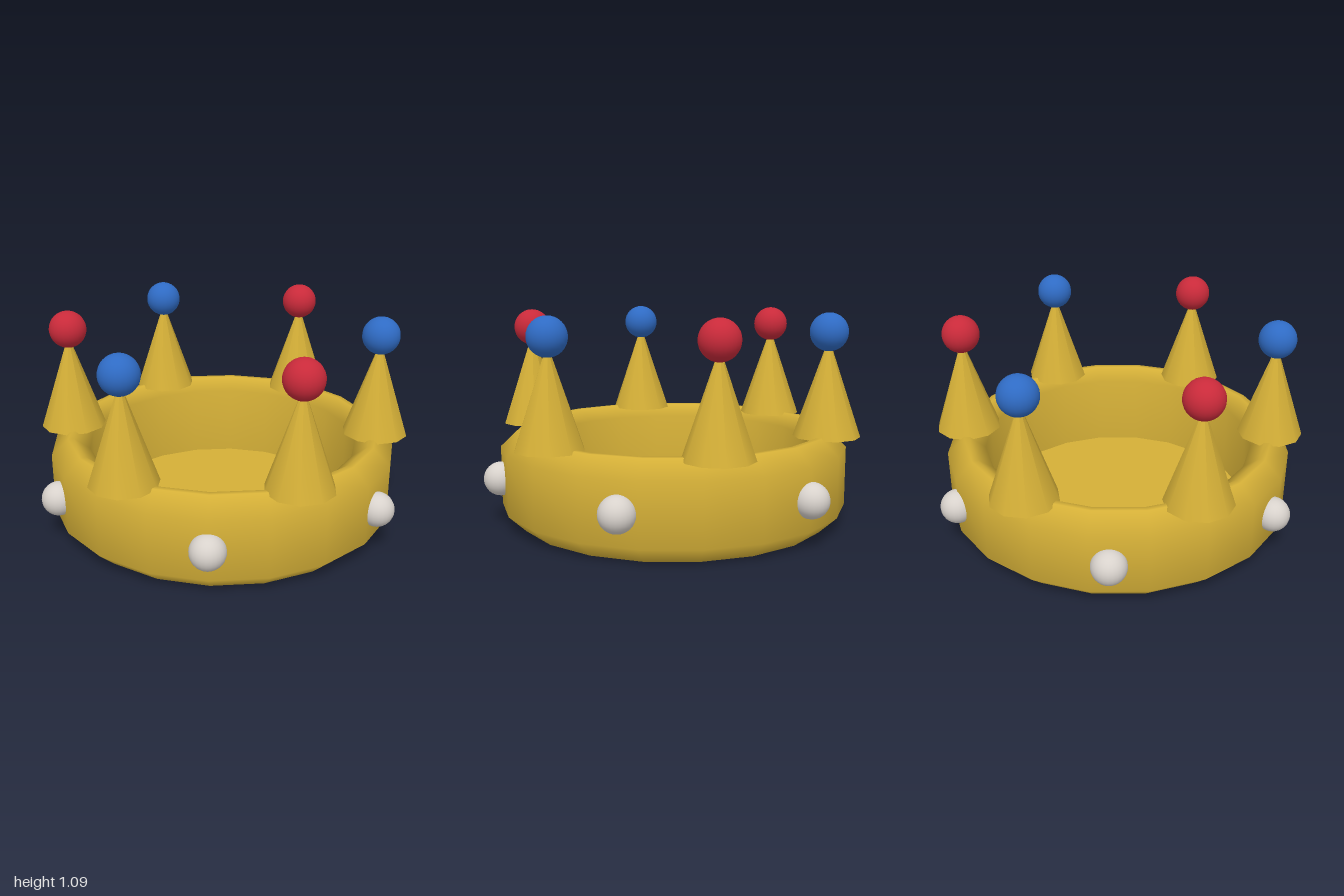
import * as THREE from 'three';

const mat = (name, color) => {
  const m = new THREE.MeshStandardMaterial({ color });
  m.name = name;
  return m;
};

export function createModel() {
  const crown = new THREE.Group();
  crown.name = 'crown';

  const gold = mat('gold', 0xd4af37);
  const red = mat('red gem', 0xc92a3a);
  const blue = mat('blue gem', 0x2f6bc4);
  const pearl = mat('pearl', 0xd8d2cc);

  const add = (name, geometry, material, x, y, z) => {
    const mesh = new THREE.Mesh(geometry, material);
    mesh.name = name;
    mesh.position.set(x, y, z);
    crown.add(mesh);
  };

  // Bevelled band: outer wall up, over the rim, down the inner wall
  const profile = [
    [0.82, 0], [0.91, 0.085], [0.91, 0.39], [0.82, 0.475],
    [0.79, 0.475], [0.71, 0.41], [0.71, 0.01],
  ].map(([r, y]) => new THREE.Vector2(r, y));
  add('band', new THREE.LatheGeometry(profile, 20), gold, 0, 0, 0);

  // Thin floor closing the bottom
  add('floor', new THREE.CylinderGeometry(0.82, 0.82, 0.015, 20), gold, 0, 0.0075, 0);

  // Six spikes with alternating gems, and pearls midway between them
  const spikeGeo = new THREE.ConeGeometry(0.17, 0.5, 10);
  const gemGeo = new THREE.SphereGeometry(0.097, 24, 16);
  const pearlGeo = new THREE.SphereGeometry(0.087, 24, 16);
  for (let i = 0; i < 6; i++) {
    const a = (i * Math.PI) / 3;
    const x = 0.81 * Math.cos(a), z = 0.81 * Math.sin(a);
    add('spike', spikeGeo, gold, x, 0.71, z);
    add('gem', gemGeo, i % 2 ? red : blue, x, 0.99, z);
    const b = a + Math.PI / 6;
    add('pearl', pearlGeo, pearl, 0.913 * Math.cos(b), 0.24, 0.913 * Math.sin(b));
  }
  return crown;
}
